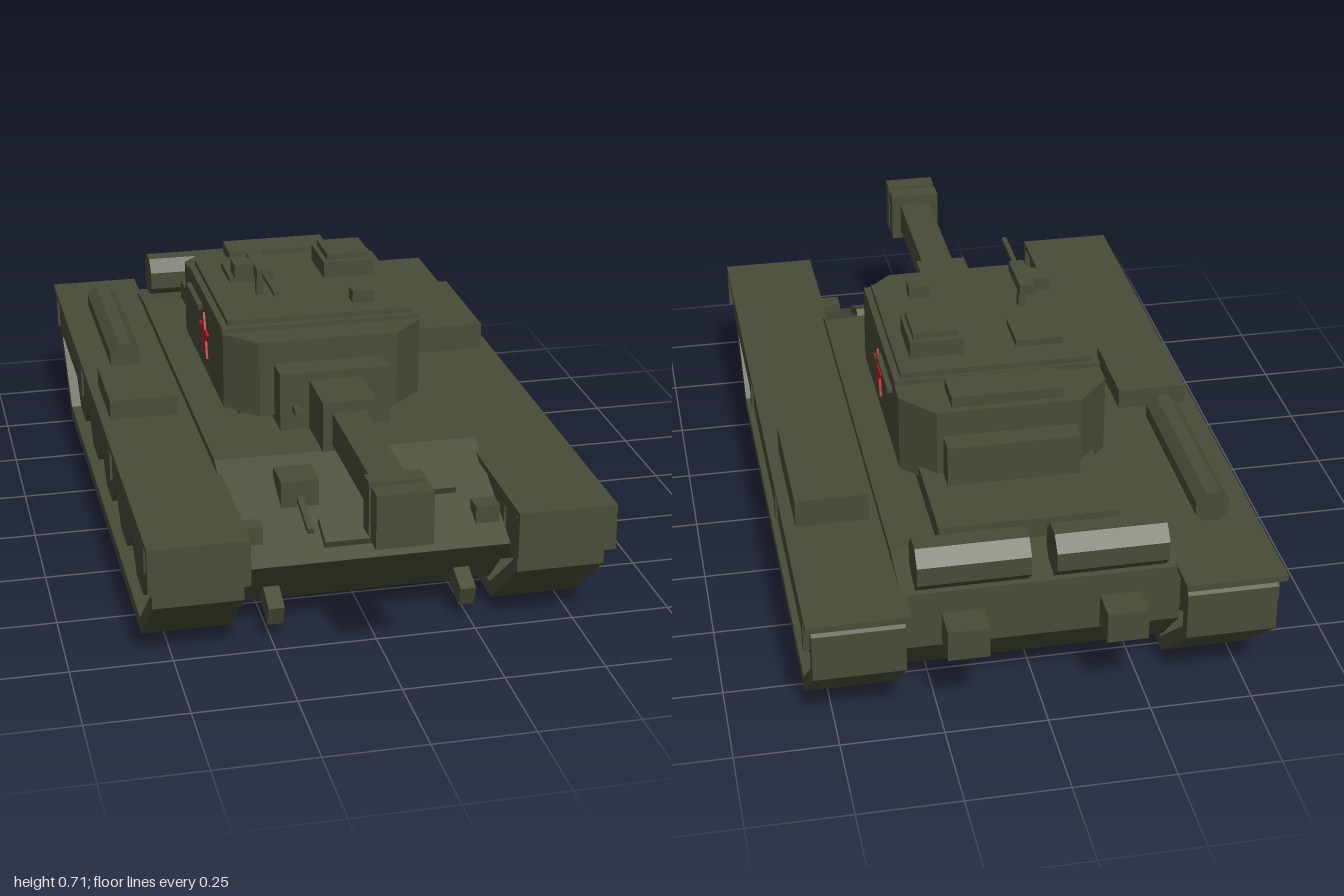
import * as THREE from 'three';

export function createModel() {
  const model = new THREE.Group();
  model.name = 'tank';
  const olive = new THREE.MeshStandardMaterial({ color: 0x484c37, flatShading: true });
  olive.name = 'olive paint';
  const red = new THREE.MeshStandardMaterial({ color: 0xb02024, flatShading: true });
  red.name = 'red paint';

  const add = (name, geometry, material = olive, parent = model) => {
    const mesh = new THREE.Mesh(geometry, material);
    mesh.name = name;
    parent.add(mesh);
    return mesh;
  };
  // Box given by its limits on each axis
  const box = (name, x0, x1, y0, y1, z0, z1) => {
    const mesh = add(name, new THREE.BoxGeometry(x1 - x0, y1 - y0, z1 - z0));
    mesh.position.set((x0 + x1) / 2, (y0 + y1) / 2, (z0 + z1) / 2);
    return mesh;
  };
  const toShape = (pts) => new THREE.Shape(pts.map(([a, b]) => new THREE.Vector2(a, b)));
  // Side profile in (z, y), extruded across x around a centre
  const across = (shape, x, width) =>
    new THREE.ExtrudeGeometry(shape, { depth: width, bevelEnabled: false })
      .rotateY(-Math.PI / 2).translate(x + width / 2, 0, 0);
  // Eight-sided drum lying along x, flat side up; r is measured to the flats
  const drum = (name, r, length, x, y, z) => {
    const R = r / Math.cos(Math.PI / 8);
    const geometry = new THREE.CylinderGeometry(R, R, length, 8)
      .rotateY(Math.PI / 8).rotateZ(Math.PI / 2);
    const mesh = add(name, geometry);
    mesh.position.set(x, y, z);
    return mesh;
  };

  // Hull
  add('hull', across(toShape([
    [0.58, 0.05], [0.745, 0.22], [0.42, 0.363], [-0.75, 0.363],
    [-0.91, 0.34], [-0.91, 0.19], [-0.78, 0.05],
  ]), 0, 0.67));
  box('engineDeck', -0.22, 0.22, 0.36, 0.415, -0.76, -0.2);
  box('turretRing', -0.22, 0.22, 0.36, 0.4, -0.3, 0.15);

  // Running gear, fenders and skirts on both sides
  const ring = [[0.6, 0], [0.8, 0.17], [0.8, 0.3], [0.76, 0.325], [-0.94, 0.325],
    [-0.98, 0.3], [-0.98, 0.18], [-0.78, 0]];
  const hole = [[0.585, 0.036], [0.765, 0.185], [0.765, 0.285], [0.74, 0.295], [-0.93, 0.295],
    [-0.945, 0.285], [-0.945, 0.19], [-0.77, 0.036]];
  for (const s of [-1, 1]) {
    const side = (name, a, b, ...rest) => box(name, Math.min(s * a, s * b), Math.max(s * a, s * b), ...rest);
    const belt = toShape(ring);
    belt.holes.push(toShape(hole));
    add('track', across(belt, s * 0.445, 0.22));
    for (let i = 0; i < 5; i++) drum('roadWheel', 0.132, 0.17, s * 0.45, 0.192, 0.46 - i * 0.278);
    drum('idlerWheel', 0.075, 0.16, s * 0.45, 0.22, 0.665);
    drum('driveSprocket', 0.075, 0.16, s * 0.45, 0.22, -0.845);
    side('fender', 0.325, 0.57, 0.327, 0.343, -1, 0.835);
    side('frontMudflap', 0.325, 0.57, 0.225, 0.343, 0.82, 0.838);
    side('sideSkirt', 0.552, 0.564, 0.235, 0.335, -0.92, 0.74);
    for (const z of [0.2, -0.37, -0.93]) side('skirtBracket', 0.555, 0.57, 0.24, 0.325, z - 0.015, z + 0.015);

    // Nose and tail fittings
    side('headlight', 0.265, 0.325, 0.25, 0.295, 0.63, 0.68);
    side('towHook', 0.22, 0.26, 0.06, 0.115, 0.59, 0.71).rotation.x = 0.35;
    drum('fuelDrum', 0.058, 0.27, s * 0.165, 0.398, -0.87);
    side('exhaustBox', 0.14, 0.24, 0.2, 0.28, -0.99, -0.85);
  }

  // Fender stowage
  box('leftStowageBox', 0.36, 0.54, 0.34, 0.415, -0.58, -0.22);
  box('rightStowageBox', -0.545, -0.365, 0.34, 0.395, -0.175, 0.065);
  const log = drum('log', 0.041, 0.48, -0.457, 0.381, -0.5);
  log.rotation.y = Math.PI / 2;

  // Glacis fittings, lying on the slope
  const slope = Math.atan2(0.143, 0.325);
  const onGlacis = (name, x0, x1, z, length, thick) => {
    const y = 0.22 + (0.745 - z) * Math.tan(slope);
    box(name, x0, x1, y - thick / 2, y + thick, z - length / 2, z + length / 2).rotation.x = slope;
  };
  onGlacis('driverHatch', 0.08, 0.24, 0.515, 0.15, 0.02);
  onGlacis('splashBoard', -0.12, 0.12, 0.67, 0.08, 0.02);
  box('bowGunMount', -0.2, -0.105, 0.29, 0.36, 0.485, 0.58);
  box('bowGun', -0.16, -0.145, 0.29, 0.305, 0.57, 0.7).rotation.x = 0.25;

  // Turret with chamfered corners
  const plan = toShape([
    [-0.26, 0.43], [-0.18, 0.52], [0.18, 0.52], [0.26, 0.43],
    [0.26, -0.145], [0.18, -0.225], [-0.18, -0.225], [-0.26, -0.145],
  ].reverse());
  add('turretBody', new THREE.ExtrudeGeometry(plan, { depth: 0.2, bevelEnabled: false })
    .rotateX(-Math.PI / 2).translate(0, 0.387, 0));
  box('roofEdge', -0.26, 0.26, 0.58, 0.6, -0.37, 0.14);
  box('roofPlate', -0.243, 0.243, 0.6, 0.615, -0.36, 0.125);
  box('rearRoofBox', -0.14, 0.14, 0.58, 0.615, -0.5, -0.4);
  box('bustleBox', -0.165, 0.165, 0.41, 0.52, -0.58, -0.51);

  // Five-pointed stars and rails on the turret sides
  const star = toShape(Array.from({ length: 10 }, (_, i) => {
    const r = i % 2 ? 0.026 : 0.066, a = Math.PI / 2 + i * Math.PI / 5;
    return [-0.115 + r * Math.cos(a), 0.488 + r * Math.sin(a)];
  }));
  for (const s of [-1, 1]) {
    add('star', across(star, s * 0.262, 0.008), red);
    box('turretRail', s * 0.265 - 0.008, s * 0.265 + 0.008, 0.548, 0.56, -0.335, -0.15);
  }

  // Mantlet, barrel and muzzle brake
  box('mantletBase', -0.143, 0.143, 0.375, 0.527, 0.2, 0.3);
  box('mantlet', -0.067, 0.067, 0.375, 0.505, 0.29, 0.453);
  box('barrel', -0.043, 0.043, 0.392, 0.477, 0.45, 0.96);
  box('muzzleBrakeRear', -0.068, 0.068, 0.37, 0.505, 0.88, 0.93);
  box('muzzleBrakeFront', -0.068, 0.068, 0.37, 0.505, 0.95, 1);
  box('coaxialGun', -0.112, -0.094, 0.425, 0.443, 0.28, 0.34);

  // Roof fittings
  box('cupola', 0.07, 0.207, 0.61, 0.66, -0.29, -0.14);
  box('cupolaLid', 0.082, 0.197, 0.66, 0.677, -0.275, -0.155);
  box('periscope', 0.1, 0.157, 0.61, 0.648, 0.025, 0.067);
  box('loaderHatch', -0.185, -0.065, 0.61, 0.632, -0.28, -0.155);
  box('roofGunPost', -0.132, -0.114, 0.61, 0.69, -0.07, -0.05);
  box('roofGunBody', -0.143, -0.105, 0.68, 0.708, -0.13, 0.012);
  box('ammunitionBox', -0.193, -0.14, 0.67, 0.707, -0.095, -0.035);
  box('roofGunBarrel', -0.13, -0.118, 0.688, 0.699, 0, 0.17);

  return model;
}
